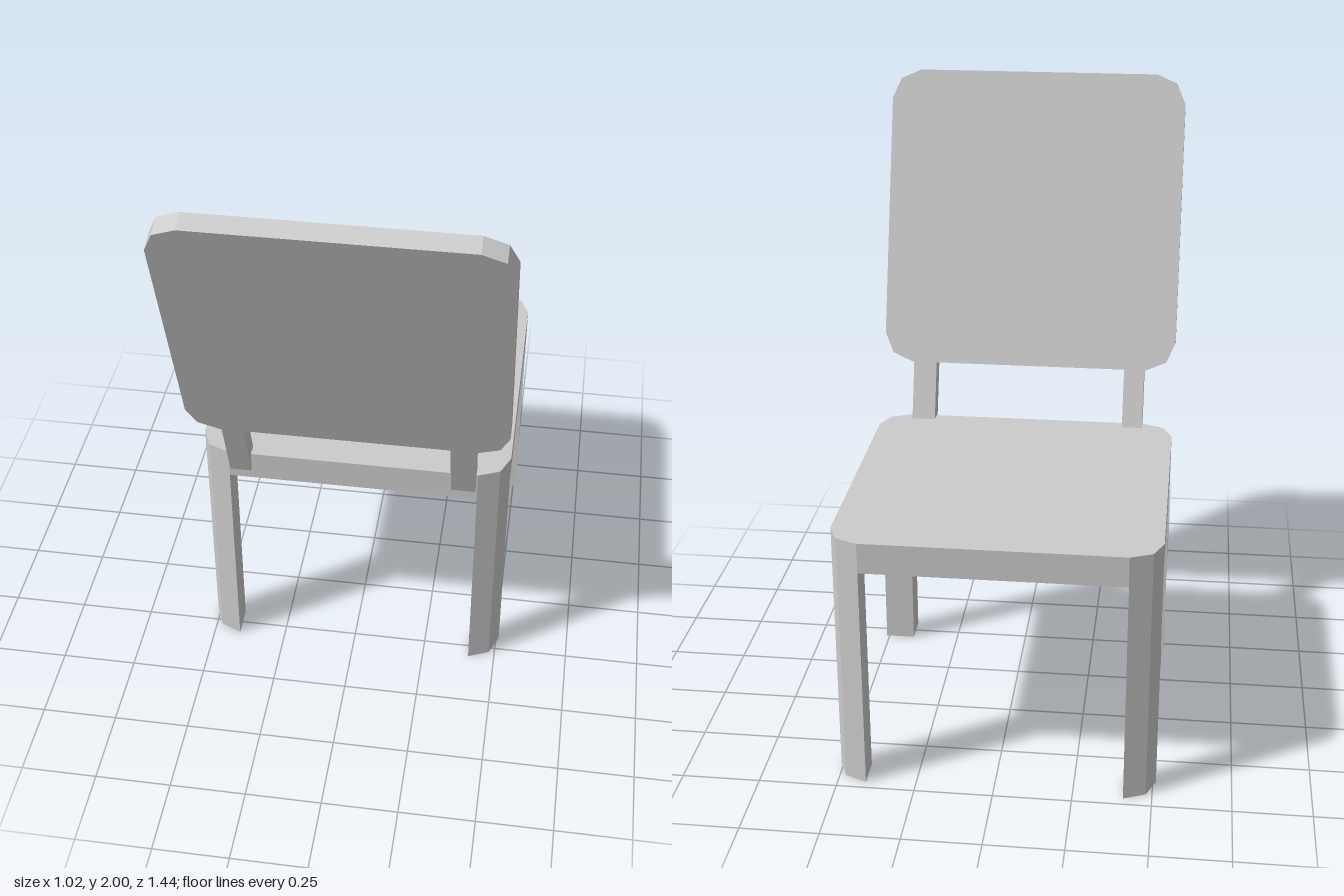
import * as THREE from 'three';

const HALF = 0.51, CUT = 0.1, MID = 0.03;
const material = new THREE.MeshStandardMaterial({ color: 0xcccccc, flatShading: true });

// Square outline whose corners are rounded with two facets each
function roundedSquare() {
  const a = HALF - CUT, b = HALF - MID;
  const points = [];
  for (let i = 0; i < 4; i++) {
    for (const [x, y] of [[HALF, a], [b, b], [a, HALF]]) {
      points.push(new THREE.Vector2(x, y).rotateAround(new THREE.Vector2(), i * Math.PI / 2));
    }
  }
  return new THREE.Shape(points);
}

function extrude(shape, depth) {
  return new THREE.ExtrudeGeometry(shape, { depth, bevelEnabled: false });
}

function addMesh(parent, name, geometry) {
  const mesh = new THREE.Mesh(geometry, material);
  mesh.name = name;
  parent.add(mesh);
  return mesh;
}

export function createModel() {
  const chair = new THREE.Group();
  chair.name = 'chair';

  // Seat and legs share one centre
  const base = new THREE.Group();
  base.name = 'base';
  base.position.z = -0.21;
  chair.add(base);

  const seat = addMesh(base, 'seat', extrude(roundedSquare(), 0.1).rotateX(-Math.PI / 2));
  seat.position.y = 0.75;

  // Legs follow the seat corners on the outside and are square on the inside
  const a = HALF - CUT, b = HALF - MID;
  const legShape = new THREE.Shape([[a, a], [HALF, a], [b, b], [a, HALF]].map(p => new THREE.Vector2(...p)));
  for (let i = 0; i < 4; i++) {
    const leg = addMesh(base, 'leg', extrude(legShape, 0.75).rotateX(-Math.PI / 2));
    leg.rotation.y = i * Math.PI / 2;
  }

  // Reclined backrest: panel on two posts sunk into the seat's rear edge
  const thickness = 0.063;
  const back = new THREE.Group();
  back.name = 'backrest';
  back.position.set(0, 1.04, 0.327);
  back.rotation.x = 0.331;
  chair.add(back);

  const panel = addMesh(back, 'backPanel', extrude(roundedSquare(), thickness));
  panel.position.y = HALF;

  for (const [x0, x1] of [[-0.405, -0.335], [0.325, 0.405]]) {
    const post = addMesh(back, 'backPost', new THREE.BoxGeometry(x1 - x0, 0.25, thickness));
    post.position.set((x0 + x1) / 2, -0.125, thickness / 2);
  }

  return chair;
}
